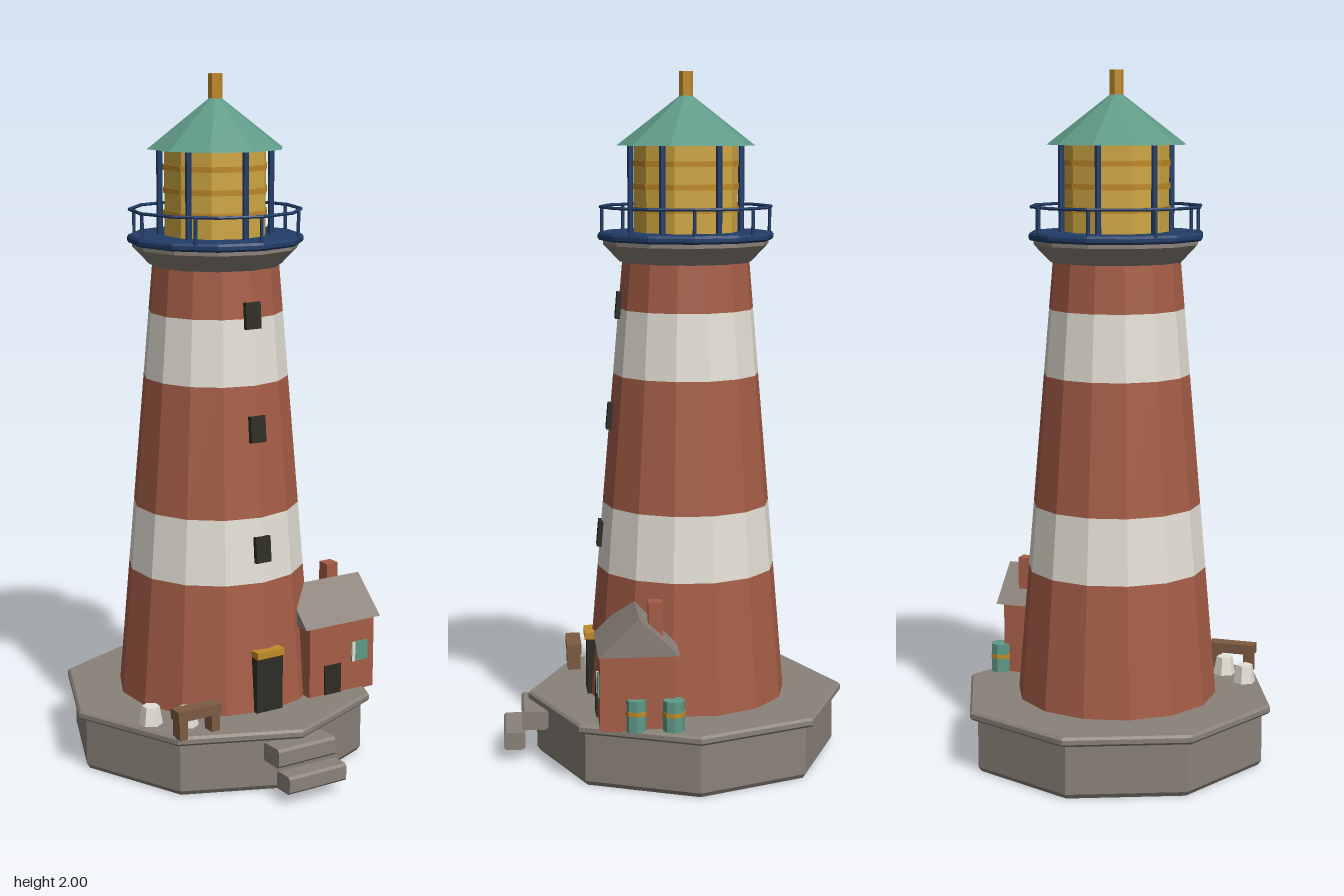
import * as THREE from 'three';

const mat = (name, color) => {
  const m = new THREE.MeshStandardMaterial({ color });
  m.name = name;
  return m;
};

export function createModel() {
  const brick = mat('brick red', 0xa65e47);
  const white = mat('off white', 0xe4e0d6);
  const stone = mat('stone grey', 0x8a8279);
  const teal = mat('sea green', 0x5f9a87);
  const navy = mat('navy blue', 0x223d68);
  const glow = mat('lamp yellow', 0xd0a843);
  const gold = mat('gold', 0xc08a28);
  const dark = mat('dark opening', 0x2e2c24);
  const wood = mat('wood brown', 0x7c5b42);

  const model = new THREE.Group();
  const tower = new THREE.Group();
  tower.name = 'tower';
  tower.position.z = -0.038;
  model.add(tower);

  // Faceted mesh: every face gets its own flat normal
  const add = (parent, name, geometry, material, x = 0, y = 0, z = 0) => {
    const g = geometry.index ? geometry.toNonIndexed() : geometry;
    g.computeVertexNormals();
    const mesh = new THREE.Mesh(g, material);
    mesh.name = name;
    mesh.position.set(x, y, z);
    parent.add(mesh);
    return mesh;
  };
  // Box given by its limits on each axis
  const box = (parent, name, material, x0, x1, y0, y1, z0, z1) =>
    add(parent, name, new THREE.BoxGeometry(x1 - x0, y1 - y0, z1 - z0), material,
      (x0 + x1) / 2, (y0 + y1) / 2, (z0 + z1) / 2);
  // Upright prism or frustum from y0 to y1
  const drum = (parent, name, material, r0, r1, y0, y1, sides, x = 0, z = 0, open = false) =>
    add(parent, name, new THREE.CylinderGeometry(r1, r0, y1 - y0, sides, 1, open), material, x, (y0 + y1) / 2, z);
  const lathe = (parent, name, material, points, sides) =>
    add(parent, name, new THREE.LatheGeometry(points.map(p => new THREE.Vector2(...p)), sides), material);
  // Box with small chamfers, running along x
  const chamferedBar = (parent, name, material, x0, x1, y0, y1, z0, z1) => {
    const b = 0.007, w = z1 - z0, h = y1 - y0;
    const s = new THREE.Shape([[b, 0], [w - b, 0], [w, b], [w, h - b], [w - b, h], [b, h], [0, h - b], [0, b]]
      .map(p => new THREE.Vector2(...p)));
    const g = new THREE.ExtrudeGeometry(s, { depth: x1 - x0, bevelEnabled: false });
    g.rotateY(-Math.PI / 2);
    add(parent, name, g, material, x1, y0, z0);
  };

  // Octagonal plinth and its overhanging slab
  lathe(tower, 'plinth', stone,
    [[0, 0], [0.435, 0], [0.445, 0.014], [0.445, 0.16], [0, 0.16]], 8);
  lathe(tower, 'plinthSlab', stone,
    [[0, 0.158], [0.463, 0.158], [0.47, 0.165], [0.47, 0.178], [0.463, 0.185], [0, 0.185]], 8);

  // Entrance steps
  chamferedBar(model, 'upperStep', stone, -0.097, 0.097, 0.095, 0.15, 0.375, 0.452);
  chamferedBar(model, 'lowerStep', stone, -0.097, 0.097, 0.036, 0.088, 0.443, 0.506);

  // Tapered tower in striped bands
  const radiusAt = y => 0.294 - 0.109 * (y - 0.18) / 1.28;
  const bands = [0.18, 0.565, 0.755, 1.135, 1.325, 1.465];
  for (let i = 0; i < 5; i++) {
    const [a, b] = [bands[i], bands[i + 1]];
    drum(tower, i % 2 ? 'whiteBand' : 'redBand', i % 2 ? white : brick,
      radiusAt(a), radiusAt(b), a, b, 14, 0, 0, true);
  }

  // Tower windows follow the slope of the wall
  for (const y of [0.662, 1.01, 1.333]) {
    const w = add(tower, 'towerWindow', new THREE.BoxGeometry(0.05, 0.076, 0.03), dark, 0, y, radiusAt(y) - 0.007);
    w.rotation.x = -0.085;
  }

  // Main door
  box(model, 'towerDoor', dark, -0.045, 0.045, 0.18, 0.35, 0.2, 0.258);
  box(model, 'doorLintel', gold, -0.046, 0.046, 0.35, 0.37, 0.22, 0.265);

  // Gallery: corbel, deck, railing
  lathe(tower, 'corbel', stone, [[0, 1.46], [0.192, 1.46], [0.24, 1.51], [0.24, 1.526], [0, 1.526]], 12);
  lathe(tower, 'galleryDeck', navy, [[0, 1.522], [0.25, 1.522], [0.255, 1.528], [0.255, 1.538], [0.25, 1.545], [0, 1.545]], 12);
  const railGeometry = new THREE.TorusGeometry(0.247, 0.005, 6, 12);
  railGeometry.rotateX(Math.PI / 2);
  add(tower, 'handRail', railGeometry, navy, 0, 1.617, 0);
  for (let i = 0; i < 8; i++) {
    const a = i * Math.PI / 4;
    drum(tower, 'railPost', navy, 0.005, 0.005, 1.54, 1.617, 6, 0.243 * Math.sin(a), 0.243 * Math.cos(a));
  }

  // Lantern room: glass, lens rings, corner posts
  drum(tower, 'lanternGlass', glow, 0.15, 0.15, 1.54, 1.795, 10);
  for (const y of [1.61, 1.675, 1.74])
    drum(tower, 'lensRing', gold, 0.154, 0.154, y - 0.008, y + 0.008, 10);
  for (let i = 0; i < 6; i++) {
    const a = i * Math.PI / 3;
    drum(tower, 'lanternPost', navy, 0.009, 0.009, 1.54, 1.8, 6, 0.16 * Math.sin(a), 0.16 * Math.cos(a));
  }
  add(tower, 'lanternRoof', new THREE.ConeGeometry(0.2, 0.155, 10), teal, 0, 1.868, 0);
  drum(tower, 'finial', gold, 0.02, 0.02, 1.93, 2, 6);

  // Keeper's house
  const house = new THREE.Group();
  house.name = 'keeperHouse';
  model.add(house);
  box(house, 'houseWalls', brick, 0.155, 0.387, 0.18, 0.4, 0.028, 0.238);
  const gable = new THREE.Shape([[0, 0], [0.228, 0], [0.114, 0.108]].map(p => new THREE.Vector2(...p)));
  const roofGeometry = new THREE.ExtrudeGeometry(gable, { depth: 0.268, bevelEnabled: false });
  roofGeometry.rotateY(-Math.PI / 2);
  add(house, 'houseRoof', roofGeometry, stone, 0.407, 0.398, 0.015);
  box(house, 'chimney', brick, 0.311, 0.351, 0.42, 0.538, 0.06, 0.1);
  box(house, 'houseDoor', dark, 0.207, 0.265, 0.185, 0.275, 0.235, 0.243);
  box(house, 'houseWindow', teal, 0.305, 0.363, 0.272, 0.332, 0.235, 0.242);
  box(house, 'windowShutter', white, 0.305, 0.316, 0.272, 0.332, 0.236, 0.244);

  // Banded barrels beside the house
  for (const [x, z] of [[0.4, 0.033], [0.38, 0.137]]) {
    const r = 0.031;
    drum(model, 'barrel', teal, r, r, 0.18, 0.272, 8, x, z);
    drum(model, 'barrelBand', gold, r + 0.002, r + 0.002, 0.228, 0.24, 8, x, z);
  }

  // White mooring blocks
  for (const [x, z] of [[-0.34, 0.157], [-0.26, 0.222]])
    drum(model, 'mooringBlock', white, 0.035, 0.025, 0.18, 0.238, 6, x, z);

  // Bench
  box(model, 'benchSeat', wood, -0.338, -0.197, 0.235, 0.265, 0.265, 0.31);
  for (const x of [-0.333, -0.228])
    box(model, 'benchLeg', wood, x, x + 0.026, 0.18, 0.236, 0.268, 0.307);

  return model;
}
